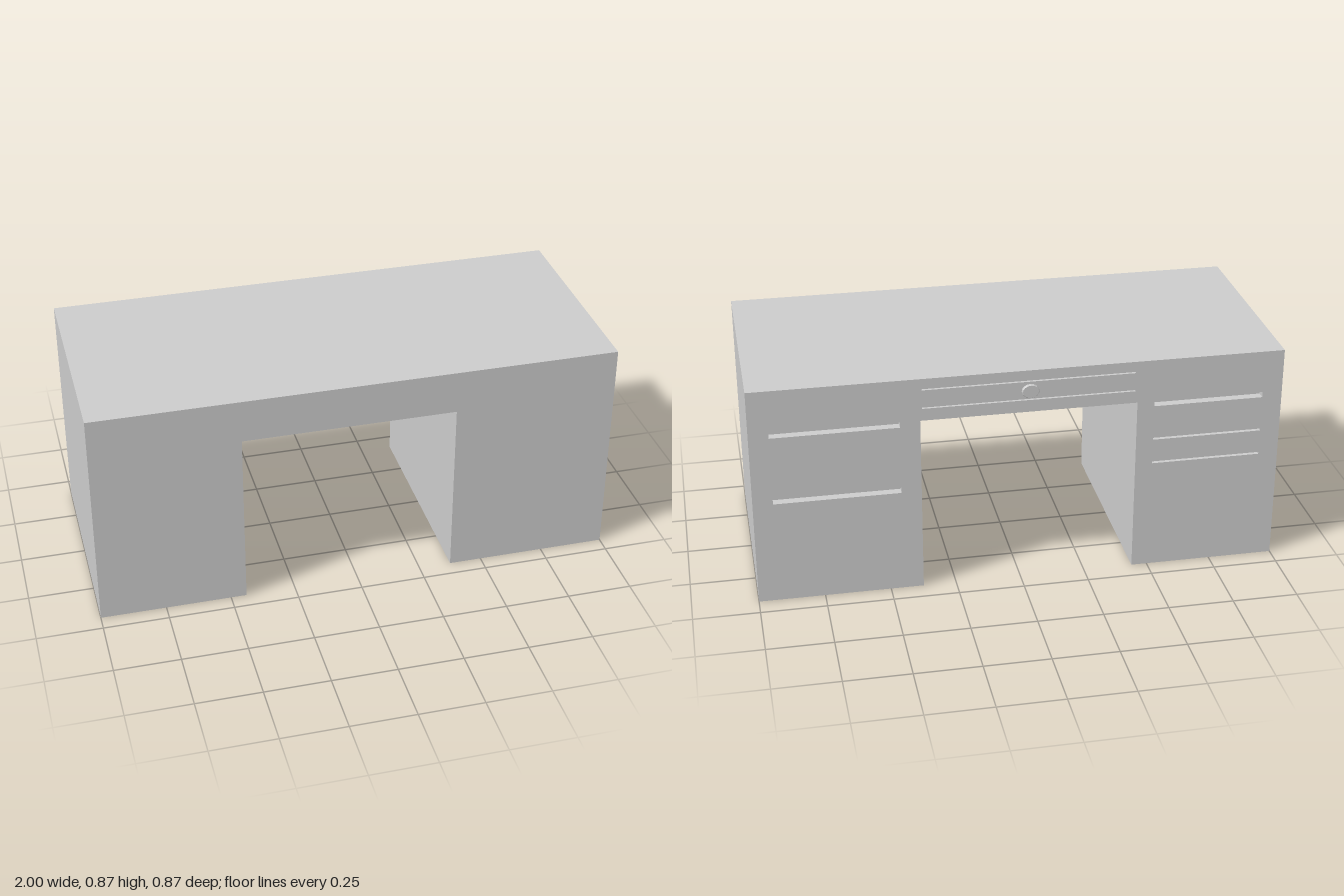
import * as THREE from 'three';

const W = 1, TOP = 0.867, KNEE = 0.70;      // half width, height, underside of the centre span
const KL = -0.44, KR = 0.375;               // sides of the knee space
const FRONT = 0.437, BACK = -0.423;
const PANEL = 0.033, PLINTH = 0.05, INSET = 0.06;

const material = new THREE.MeshStandardMaterial({ color: 0xcccccc, flatShading: true });

function rectPoints(x0, y0, x1, y1) {
  return [[x0, y0], [x1, y0], [x1, y1], [x0, y1]].map(([x, y]) => new THREE.Vector2(x, y));
}

// Arch-shaped outline: two pedestals joined by the top
function archShape(bottom) {
  return new THREE.Shape([
    [-W, bottom], [KL, bottom], [KL, KNEE], [KR, KNEE], [KR, bottom], [W, bottom], [W, TOP], [-W, TOP],
  ].map(([x, y]) => new THREE.Vector2(x, y)));
}

function extrude(shape, depth) {
  return new THREE.ExtrudeGeometry(shape, { depth, bevelEnabled: false });
}

function add(group, name, geometry) {
  const mesh = new THREE.Mesh(geometry, material);
  mesh.name = name;
  group.add(mesh);
  return mesh;
}

export function createModel() {
  const desk = new THREE.Group();
  desk.name = 'desk';
  const inner = BACK + PANEL;

  // Solid carcass above the plinths
  add(desk, 'carcass', extrude(archShape(PLINTH), FRONT - inner)).position.z = inner;

  // Drawer-side panel with finger slots and drawer gaps: x0, x1, centre y, height
  const panel = archShape(0);
  const slots = [
    [0.45, 0.925, 0.69, 0.022], [0.45, 0.925, 0.42, 0.022],
    [-0.925, -0.505, 0.69, 0.022], [-0.925, -0.505, 0.543, 0.008], [-0.925, -0.505, 0.443, 0.008],
    [-0.43, 0.368, 0.824, 0.005], [-0.43, 0.368, 0.75, 0.005],
  ];
  for (const [x0, x1, y, h] of slots) {
    panel.holes.push(new THREE.Path(rectPoints(x0, y - h / 2, x1, y + h / 2)));
  }
  add(desk, 'drawerPanel', extrude(panel, PANEL)).position.z = BACK;

  // Hollow plinth frames under the pedestals
  for (const [name, x0, x1] of [['rightPlinth', -W, KL], ['leftPlinth', KR, W]]) {
    const frame = new THREE.Shape(rectPoints(x0, inner, x1, FRONT));
    frame.holes.push(new THREE.Path(rectPoints(x0 + INSET, BACK + INSET, x1 - INSET, FRONT - INSET)));
    const plinth = add(desk, name, extrude(frame, PLINTH));
    plinth.rotation.x = Math.PI / 2;        // shape y becomes z, depth runs down
    plinth.position.y = PLINTH;
  }

  // Flat round knob on the centre drawer
  const profile = [[0, 0], [0.031, 0], [0.033, 0.003], [0.033, 0.010], [0.030, 0.014], [0, 0.014]]
    .map(([r, y]) => new THREE.Vector2(r, y));
  const knob = add(desk, 'drawerKnob', new THREE.LatheGeometry(profile, 16));
  knob.rotation.x = -Math.PI / 2;
  knob.scale.z = 0.82;                      // slightly lower than wide
  knob.position.set(-0.033, 0.787, BACK);

  return desk;
}
